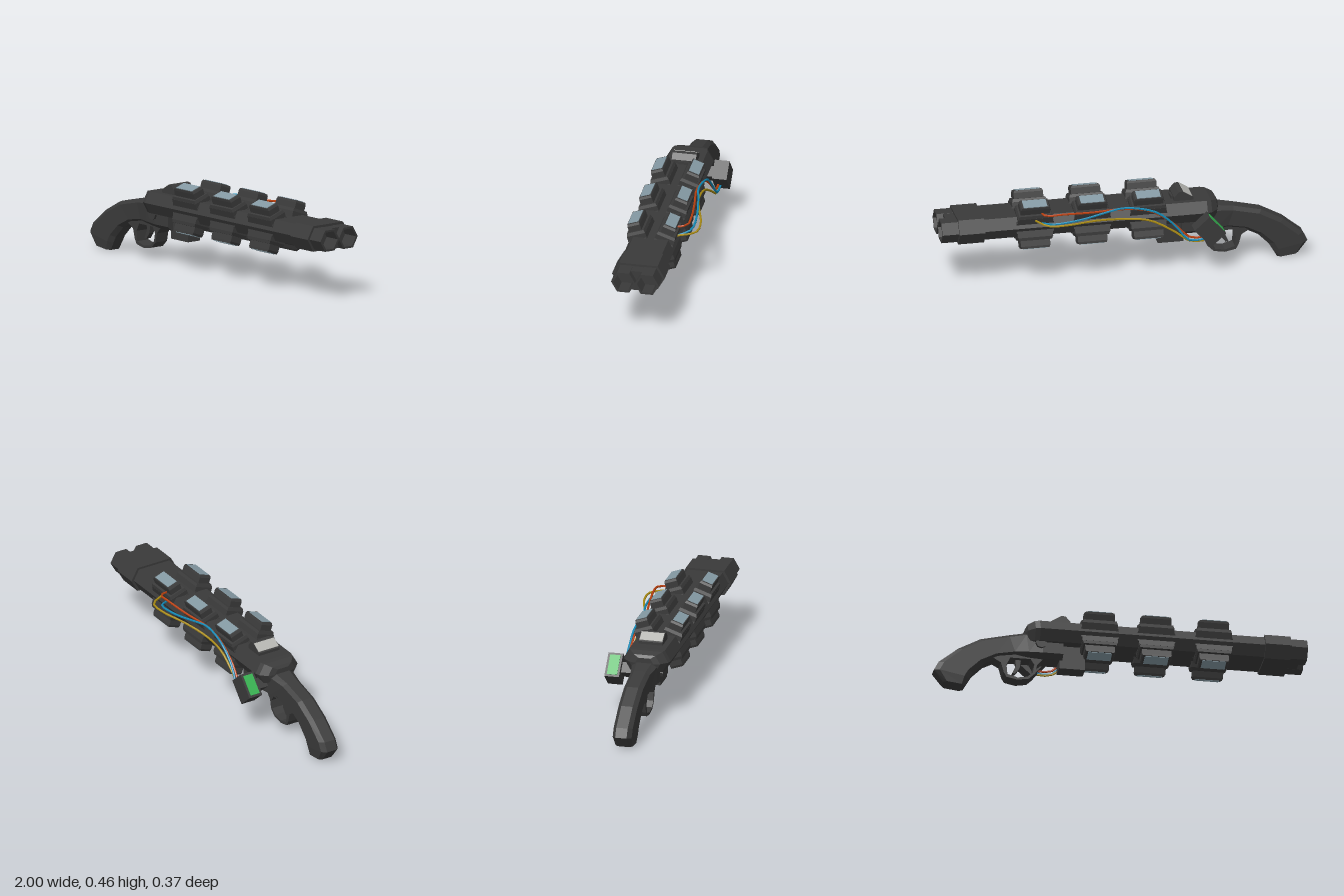
import * as THREE from 'three';

const MID = 0.041, AXIS = 0.327; // centre line of the twin barrels (z, y)
const mat = (color) => new THREE.MeshStandardMaterial({ color, flatShading: true });
const dark = mat(0x3a3a3a), lens = mat(0x8499a3), pale = mat(0xb4b4b0), green = mat(0x35b050);

function add(parent, name, geometry, material = dark, x = 0, y = 0, z = 0) {
  const m = new THREE.Mesh(geometry, material);
  m.name = name;
  m.position.set(x, y, z);
  parent.add(m);
  return m;
}

// Skin a row of equal-length cross-sections and cap both ends
function loft(sections) {
  const n = sections[0].length, pos = sections.flat(2), idx = [];
  for (let s = 0; s < sections.length - 1; s++)
    for (let i = 0; i < n; i++) {
      const a = s * n + i, b = s * n + (i + 1) % n;
      idx.push(a, b, a + n, b, b + n, a + n);
    }
  const last = (sections.length - 1) * n;
  for (let i = 1; i < n - 1; i++) idx.push(0, i + 1, i, last, last + i, last + i + 1);
  // Flip the winding if the solid is inside out
  const p = (i) => new THREE.Vector3().fromArray(pos, i * 3);
  let volume = 0;
  for (let i = 0; i < idx.length; i += 3) volume += p(idx[i]).dot(p(idx[i + 1]).cross(p(idx[i + 2])));
  if (volume < 0) idx.reverse();
  const g = new THREE.BufferGeometry();
  g.setAttribute('position', new THREE.Float32BufferAttribute(pos, 3));
  g.setIndex(idx);
  const flat = g.toNonIndexed();
  flat.computeVertexNormals();
  return flat;
}

// Wide six-sided section: half width w, half height h
const wide = (x, w, h, flat = w - h * 0.56) =>
  [[w, 0], [flat, h], [-flat, h], [-w, 0], [-flat, -h], [flat, -h]].map(([z, y]) => [x, AXIS + y, MID + z]);

// Chamfered eight-sided section between a top and a bottom point
function gripSection([tx, ty, bx, by, w]) {
  const at = (t, z) => [tx + (bx - tx) * t, ty + (by - ty) * t, MID + z];
  return [at(0, w * 0.6), at(0.15, w), at(0.85, w), at(1, w * 0.6),
    at(1, -w * 0.6), at(0.85, -w), at(0.15, -w), at(0, -w * 0.6)];
}

const toPoints = (list) => list.map(([x, y]) => new THREE.Vector2(x, y));

// Side profile extruded across the centre line
function plate(outline, depth, hole) {
  const shape = new THREE.Shape(toPoints(outline));
  if (hole) shape.holes.push(new THREE.Path(toPoints(hole)));
  return new THREE.ExtrudeGeometry(shape, { depth, bevelEnabled: false }).translate(0, 0, MID - depth / 2);
}

// Box whose top is shorter and narrower than its foot, top at y = 0
function taperedBox(length, height, width, kx, kz) {
  const g = new THREE.BoxGeometry(length, height, width).translate(0, -height / 2, 0);
  const p = g.attributes.position;
  for (let i = 0; i < p.count; i++)
    if (p.getY(i) > -0.001) p.setXYZ(i, p.getX(i) * kx, p.getY(i), p.getZ(i) * kz);
  return g;
}

// Emitter block with its foot, collar and glass
function emitter() {
  const g = new THREE.Group();
  g.name = 'emitter';
  add(g, 'emitterHousing', taperedBox(0.16, 0.012, 0.07, 0.93, 0.95));
  add(g, 'emitterHousing', new THREE.BoxGeometry(0.16, 0.05, 0.07), dark, 0, -0.037);
  add(g, 'emitterCollar', taperedBox(0.19, 0.018, 0.106, 0.93, 0.9), dark, 0, -0.044);
  add(g, 'emitterCollar', new THREE.BoxGeometry(0.19, 0.04, 0.106), dark, 0, -0.08);
  add(g, 'emitterFoot', taperedBox(0.22, 0.045, 0.106, 0.9, 1), dark, 0, -0.085);
  add(g, 'emitterGlass', new THREE.BoxGeometry(0.128, 0.006, 0.058), lens, 0, 0);
  return g;
}

export function createModel() {
  const model = new THREE.Group();
  model.name = 'doubleBarrelGun';

  // Barrel body with a rounded rear end
  add(model, 'barrelBody', loft([wide(-0.51, 0.05, 0.03), wide(-0.5, 0.085, 0.045),
    wide(-0.465, 0.12, 0.057), wide(-0.44, 0.128, 0.058), wide(0.91, 0.128, 0.058)]));
  add(model, 'muzzleBlock', loft([wide(0.77, 0.143, 0.069), wide(0.91, 0.143, 0.069)]));

  // Two hollow six-sided muzzles
  const hex = (r, cx = 0) => Array.from({ length: 6 }, (_, i) =>
    [cx + r * Math.cos(i * Math.PI / 3), r * Math.sin(i * Math.PI / 3)]);
  for (const side of [-1, 1]) {
    const shape = new THREE.Shape(toPoints(hex(0.066)));
    shape.holes.push(new THREE.Path(toPoints(hex(0.054))));
    const tube = new THREE.ExtrudeGeometry(shape, { depth: 0.1, bevelEnabled: false }).rotateY(Math.PI / 2);
    add(model, 'muzzle', tube, dark, 0.9, AXIS, MID + side * 0.064);
  }
  // Webs filling the valley between the muzzles
  for (const side of [-1, 1])
    add(model, 'muzzleWeb', loft([0.9, 0.965].map((x) => [
      [x, AXIS + side * 0.056, MID + 0.033], [x, AXIS + side * 0.056, MID - 0.033], [x, AXIS, MID]])));

  // Three rings of four emitters
  for (const x of [-0.12, 0.185, 0.495])
    for (const up of [1, -1])
      for (const side of [1, -1]) {
        const e = emitter();
        e.position.set(x, AXIS + up * 0.127, MID + side * 0.1);
        e.rotation.x = up > 0 ? side * 0.34 : Math.PI - side * 0.34;
        model.add(e);
      }

  // Curved stock running under the receiver
  add(model, 'stock', loft([
    [-0.95, 0.016, -0.835, 0.002, 0.046],
    [-1.0, 0.082, -0.81, 0.045, 0.052],
    [-0.975, 0.13, -0.79, 0.08, 0.052],
    [-0.87, 0.215, -0.73, 0.14, 0.052],
    [-0.75, 0.28, -0.65, 0.18, 0.052],
    [-0.6, 0.315, -0.56, 0.195, 0.053],
    [-0.51, 0.33, -0.49, 0.19, 0.068],
    [-0.42, 0.34, -0.42, 0.185, 0.078],
    [-0.31, 0.34, -0.31, 0.185, 0.078],
  ].map(gripSection)));
  add(model, 'lowerBlock', new THREE.BoxGeometry(0.14, 0.16, 0.084), dark, -0.256, 0.22, MID);
  const pin = add(model, 'hingePin', new THREE.CylinderGeometry(0.03, 0.03, 0.18, 8), dark, -0.43, 0.262, MID);
  pin.rotation.x = Math.PI / 2;

  // Trigger guard and trigger
  add(model, 'triggerGuard', plate(
    [[-0.7, 0.185], [-0.64, 0.15], [-0.625, 0.095], [-0.61, 0.068], [-0.55, 0.056], [-0.49, 0.066],
      [-0.455, 0.1], [-0.445, 0.15], [-0.4, 0.2], [-0.62, 0.21]], 0.08,
    [[-0.61, 0.14], [-0.605, 0.085], [-0.55, 0.069], [-0.497, 0.078], [-0.468, 0.105],
      [-0.46, 0.15], [-0.48, 0.182], [-0.59, 0.182]]));
  add(model, 'trigger', plate([[-0.56, 0.2], [-0.555, 0.15], [-0.575, 0.105], [-0.56, 0.102],
    [-0.535, 0.135], [-0.525, 0.2]], 0.03));

  // Raised display on top of the receiver
  add(model, 'topDisplay', plate([[-0.375, 0.37], [-0.375, 0.4], [-0.315, 0.437], [-0.295, 0.434],
    [-0.27, 0.405], [-0.27, 0.37]], 0.13));
  const panel = add(model, 'topDisplayPanel', new THREE.BoxGeometry(0.056, 0.006, 0.125), pale, -0.344, 0.419, MID);
  panel.rotation.z = 0.55;
  add(model, 'topLatch', new THREE.BoxGeometry(0.04, 0.02, 0.06), dark, -0.28, 0.39, MID);

  // Tilted control box on the far side, with a screen
  const control = new THREE.Group();
  control.name = 'controlBox';
  control.position.set(-0.435, 0.255, -0.135);
  control.rotation.z = 0.84;
  add(control, 'controlHousing', new THREE.BoxGeometry(0.136, 0.108, 0.08));
  add(control, 'controlScreen', new THREE.BoxGeometry(0.112, 0.006, 0.056), green, 0, 0.054);
  add(control, 'controlMount', new THREE.BoxGeometry(0.06, 0.06, 0.1), dark, 0, 0, 0.06);
  model.add(control);

  // Three loose wires from the control box to the emitters
  const wires = [
    ['orangeWire', 0xb8400f, [[-0.41, 0.21, -0.12], [-0.34, 0.21, -0.118], [-0.24, 0.3, -0.105], [-0.12, 0.375, -0.1],
      [0.02, 0.393, -0.09], [0.2, 0.4, -0.115], [0.37, 0.41, -0.132], [0.44, 0.405, -0.125], [0.46, 0.4, -0.07]]],
    ['blueWire', 0x1488b4, [[-0.41, 0.2, -0.13], [-0.33, 0.2, -0.128], [-0.25, 0.29, -0.115], [-0.15, 0.37, -0.11],
      [0.02, 0.403, -0.1], [0.12, 0.395, -0.12], [0.26, 0.375, -0.142], [0.41, 0.36, -0.138], [0.46, 0.345, -0.07]]],
    ['yellowWire', 0xa88a14, [[-0.41, 0.19, -0.125], [-0.34, 0.19, -0.122], [-0.25, 0.25, -0.11], [-0.12, 0.32, -0.1],
      [0.02, 0.34, -0.1], [0.17, 0.36, -0.135], [0.34, 0.366, -0.178], [0.44, 0.366, -0.17], [0.5, 0.366, -0.07]]],
  ];
  for (const [name, color, pts] of wires) {
    const curve = new THREE.CatmullRomCurve3(pts.map((p) => new THREE.Vector3(...p)), false, 'centripetal');
    add(model, name, new THREE.TubeGeometry(curve, 24, 0.006, 6), mat(color));
  }
  return model;
}
